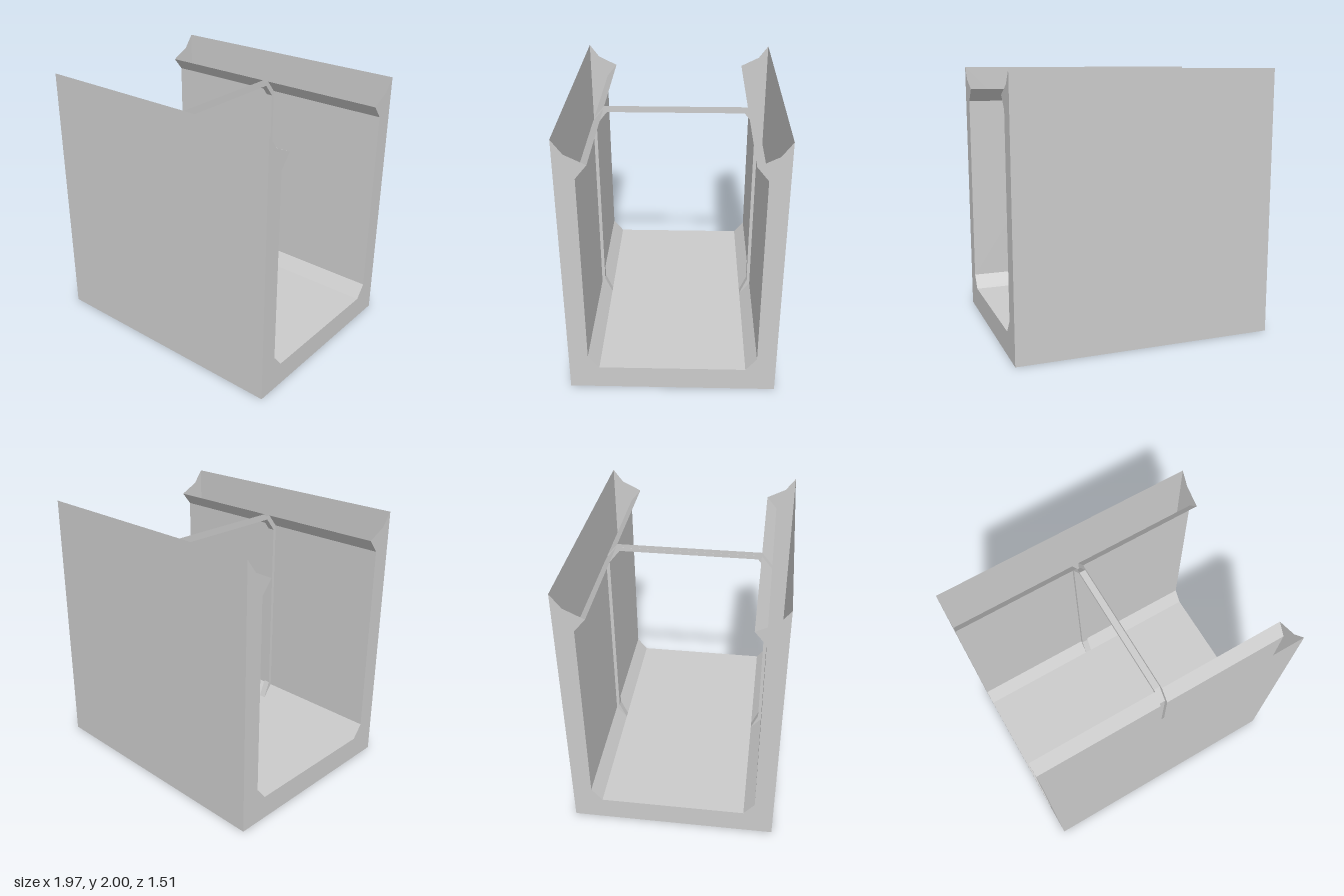
import * as THREE from 'three';

const HALF_LENGTH = 0.985; // trough runs along x
const HALF_RIB = 0.026;

// Cross-section points are [z, y]; these run down the front (+z) half.
const lip = [[0.755, 2], [0.68, 1.9], [0.535, 1.828]];
const innerWall = [[0.535, 1.828], [0.615, 1.73], [0.615, 0.28], [0.535, 0.18]];
const ribWall = [[0.51, 1.8], [0.59, 1.7], [0.59, 0.31], [0.535, 0.18]];

const mirror = (pts) => pts.map(([z, y]) => [-z, y]).reverse();

const material = new THREE.MeshStandardMaterial({
  color: 0xcccccc, flatShading: true, side: THREE.DoubleSide,
});

function addMesh(group, name, geometry) {
  const mesh = new THREE.Mesh(geometry, material);
  mesh.name = name;
  group.add(mesh);
  return mesh;
}

// Sweeps a cross-section line along x, one flat strip per segment.
function sheet(points, x0, x1) {
  const pos = [];
  for (let i = 0; i < points.length - 1; i++) {
    const [pz, py] = points[i];
    const [qz, qy] = points[i + 1];
    const a = [x0, py, pz], b = [x1, py, pz], c = [x1, qy, qz], d = [x0, qy, qz];
    pos.push(...a, ...b, ...c, ...a, ...c, ...d);
  }
  const geometry = new THREE.BufferGeometry();
  geometry.setAttribute('position', new THREE.Float32BufferAttribute(pos, 3));
  geometry.computeVertexNormals();
  return geometry;
}

// Flat, front-to-back symmetric face at x, turned outwards.
function endFace(points, x) {
  const shape = new THREE.Shape(points.map(([z, y]) => new THREE.Vector2(z, y)));
  return new THREE.ShapeGeometry(shape)
    .rotateY(Math.sign(x) * Math.PI / 2)
    .translate(x, 0, 0);
}

export function createModel() {
  const model = new THREE.Group();
  model.name = 'trough';

  // Outer walls and underside; the sloped lip tops stay open
  const outer = [[-0.755, 2], [-0.755, 0], [0.755, 0], [0.755, 2]];
  addMesh(model, 'outerShell', sheet(outer, -HALF_LENGTH, HALF_LENGTH));

  // Floor
  addMesh(model, 'floor', sheet([[0.535, 0.18], [-0.535, 0.18]], -HALF_LENGTH, HALF_LENGTH));

  // Inner walls with undercut lips, interrupted by the central rib
  for (const [x0, x1] of [[-HALF_LENGTH, -HALF_RIB], [HALF_RIB, HALF_LENGTH]]) {
    addMesh(model, 'frontInnerWall', sheet(innerWall, x0, x1));
    addMesh(model, 'backInnerWall', sheet(mirror(innerWall), x0, x1));
  }

  // End caps follow the wall thickness and lips
  const section = [...lip, ...innerWall.slice(1)];
  const capOutline = [...section, ...mirror(section), [-0.755, 0], [0.755, 0]];
  for (const side of [-1, 1]) {
    addMesh(model, 'endCap', endFace(capOutline, side * HALF_LENGTH));
  }

  // Central rib: an arch up both walls and across the top, open above
  const rib = new THREE.Group();
  rib.name = 'rib';
  model.add(rib);
  const ribInner = [...mirror(ribWall).slice(0), ...ribWall];
  addMesh(rib, 'ribInside', sheet(ribInner, -HALF_RIB, HALF_RIB));
  const archOutline = [...ribInner, ...[...innerWall].reverse().slice(1),
    ...mirror(innerWall).reverse().slice(0, -1)];
  for (const side of [-1, 1]) {
    addMesh(rib, 'ribSide', endFace(archOutline, side * HALF_RIB));
  }

  return model;
}
